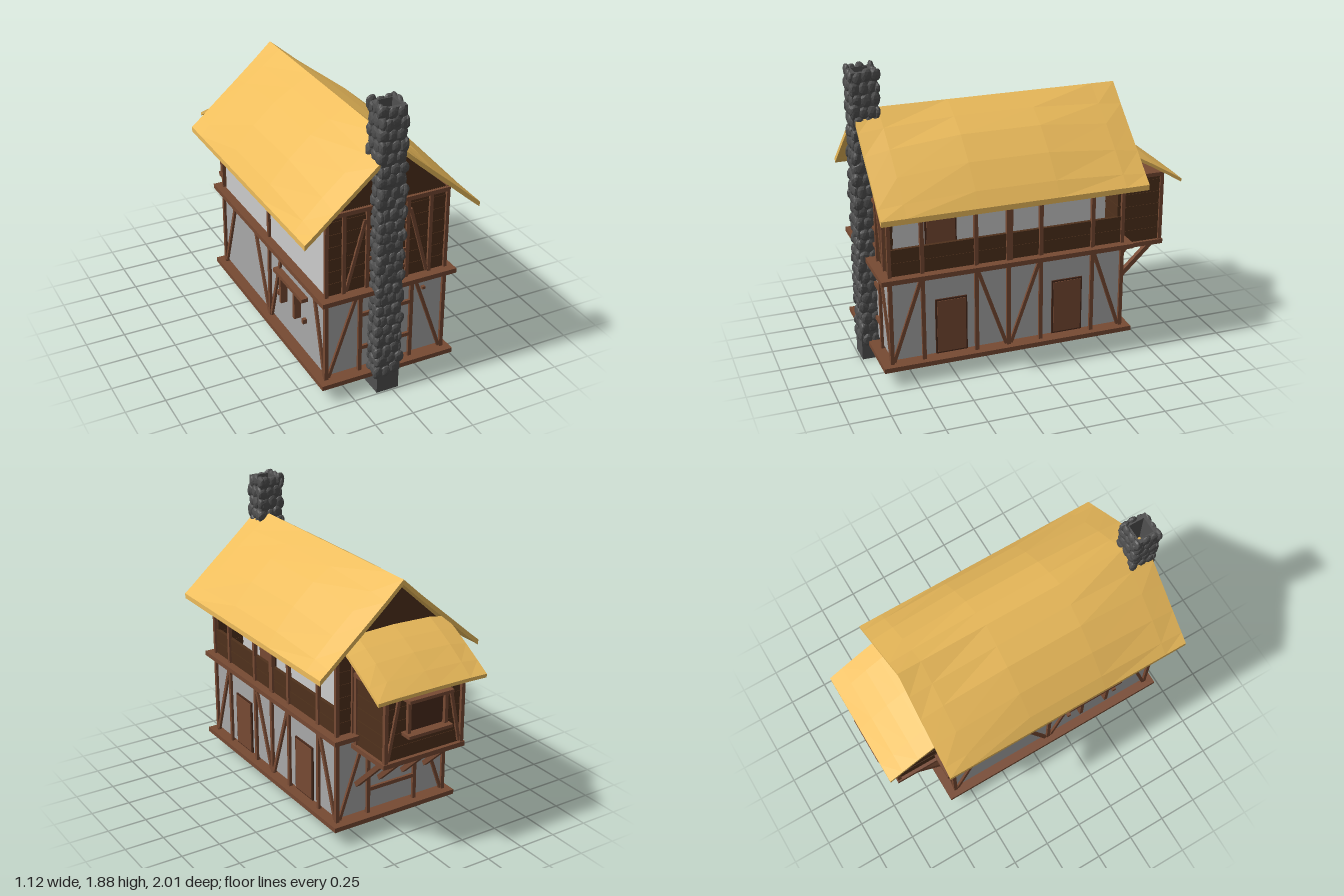
import * as THREE from 'three';
import { mergeVertices } from 'three/addons/utils/BufferGeometryUtils.js';

const mat = (color) => new THREE.MeshStandardMaterial({ color, flatShading: true });
const TIMBER = mat(0x774a33), PLANK = mat(0x4f311c), TRIM = mat(0x4a2a1c), PLASTER = mat(0xcccccc),
  LOWER = mat(0xa8a8a8), THATCH = mat(0xeebd5c), STONE = mat(0x505050);

let seed = 7;
const rnd = () => (seed = (seed * 16807) % 2147483647) / 2147483647;

function add(parent, name, geo, material) {
  const mesh = new THREE.Mesh(geo, material);
  mesh.name = name;
  parent.add(mesh);
  return mesh;
}

// Box given by its x, y and z ranges
function box(parent, name, [x0, x1], [y0, y1], [z0, z1], material) {
  const m = add(parent, name, new THREE.BoxGeometry(x1 - x0, y1 - y0, z1 - z0), material);
  m.position.set((x0 + x1) / 2, (y0 + y1) / 2, (z0 + z1) / 2);
  return m;
}

// Square timber between two points
function beam(parent, name, a, b, w = 0.024) {
  const p = new THREE.Vector3(...a), q = new THREE.Vector3(...b), d = q.clone().sub(p);
  const m = add(parent, name, new THREE.BoxGeometry(w, d.length(), w), TIMBER);
  m.position.copy(p).add(q).multiplyScalar(0.5);
  m.quaternion.setFromUnitVectors(new THREE.Vector3(0, 1, 0), d.normalize());
  return m;
}

// Stack of horizontal planks with shallow steps
function planks(parent, name, xr, [y0, y1], zr, step = 0.04) {
  const n = Math.round((y1 - y0) / step), h = (y1 - y0) / n;
  for (let i = 0; i < n; i++) {
    const e = (i % 2) * 0.003;
    box(parent, name, [xr[0] - e, xr[1] + e], [y0 + i * h, y0 + (i + 1) * h], [zr[0] - e, zr[1] + e], PLANK);
  }
}

// Thatch slab: rows are [run, edge height, middle height], spans are [position, bulge weight]
function thatch(parent, name, rows, spans, t) {
  const pos = [], idx = [], m = rows.length, n = spans.length, N = m * n;
  for (const drop of [0, t])
    for (const [r, edge, mid] of rows)
      for (const [s, w] of spans) pos.push(r, edge + (mid - edge) * w - drop, s);
  const at = (i, j) => i * n + j;
  for (let i = 0; i < m - 1; i++)
    for (let j = 0; j < n - 1; j++) {
      const a = at(i, j), b = at(i, j + 1), c = at(i + 1, j + 1), d = at(i + 1, j);
      idx.push(a, b, c, a, c, d, a + N, c + N, b + N, a + N, d + N, c + N);
    }
  const ring = [];
  for (let j = 0; j < n - 1; j++) ring.push(at(0, j));
  for (let i = 0; i < m - 1; i++) ring.push(at(i, n - 1));
  for (let j = n - 1; j > 0; j--) ring.push(at(m - 1, j));
  for (let i = m - 1; i > 0; i--) ring.push(at(i, 0));
  ring.forEach((p, k) => {
    const q = ring[(k + 1) % ring.length];
    idx.push(p + N, q + N, q, p + N, q, p);
  });
  const g = new THREE.BufferGeometry();
  g.setAttribute('position', new THREE.Float32BufferAttribute(pos, 3));
  g.setIndex(idx);
  g.computeVertexNormals();
  return add(parent, name, g, THATCH);
}

// Irregular low-poly stone
function stone(parent, x, y, z, sx, sy, sz) {
  const g = new THREE.IcosahedronGeometry(1, 1);
  g.deleteAttribute('normal');
  g.deleteAttribute('uv');
  const s = mergeVertices(g, 1e-3), p = s.attributes.position, v = new THREE.Vector3();
  for (let i = 0; i < p.count; i++) {
    v.fromBufferAttribute(p, i);
    const square = 0.82 / Math.max(Math.abs(v.x), Math.abs(v.y), Math.abs(v.z));
    v.multiplyScalar((0.55 + 0.45 * square) * (0.9 + 0.14 * rnd()));
    p.setXYZ(i, v.x * sx, v.y * sy, v.z * sz);
  }
  s.computeVertexNormals();
  add(parent, 'chimneyStone', s, STONE).position.set(x, y, z);
}

function chimney(house) {
  const g = new THREE.Group();
  g.name = 'chimney';
  house.add(g);
  g.position.set(-0.025, 0, 0.905);
  box(g, 'chimneyFoot', [-0.075, 0.07], [0, 0.16], [-0.065, 0.085], STONE);
  // Hollow core
  const sq = (r) => [[-r, -r], [r, -r], [r, r], [-r, r]].map((p) => new THREE.Vector2(...p));
  const shape = new THREE.Shape(sq(0.076));
  shape.holes.push(new THREE.Path(sq(0.05)));
  const core = add(g, 'chimneyCore', new THREE.ExtrudeGeometry(shape, { depth: 1.74, bevelEnabled: false }), STONE);
  core.rotation.x = -Math.PI / 2;
  core.position.y = 0.11;
  // Stone courses round the four sides
  const rows = 25, h = 1.75 / rows;
  for (let i = 0; i < rows; i++)
    for (let k = 0; k < 4; k++)
      for (let j = 0; j < 3; j++) {
        const u = (j - 1) * 0.054 + (i % 2 ? 0.011 : -0.011) + (rnd() - 0.5) * 0.012;
        const o = 0.073 + (rnd() - 0.5) * 0.008, y = 0.13 + (i + 0.5) * h + (rnd() - 0.5) * 0.022 - 0.02;
        const w = 0.03 + rnd() * 0.008, hh = h * (0.55 + rnd() * 0.14), f = k < 2 ? 1 : -1;
        if (k % 2) stone(g, f * o, y, u, 0.02, hh, w);
        else stone(g, u, y, f * o, w, hh, 0.02);
      }
}

// Timber framing of an end wall
function endFrame(house, z) {
  for (const s of [-1, 1]) {
    for (const x of [0.39, 0.17]) beam(house, 'lowerPost', [s * x, 0.13, z], [s * x, 0.67, z]);
    beam(house, 'lowerBrace', [s * 0.375, 0.14, z], [s * 0.19, 0.67, z], 0.02);
    for (const x of [0.39, 0.28, 0.13]) beam(house, 'upperPost', [s * x, 0.7, z], [s * x, 1.21, z], 0.022);
    beam(house, 'upperBrace', [s * 0.265, 0.71, z], [s * 0.145, 1.15, z], 0.02);
  }
  for (const y of [0.29, 0.52]) beam(house, 'lowerRail', [-0.17, y, z], [0.17, y, z]);
  for (const y of [0.78, 0.89, 1.07]) beam(house, 'upperRail', [-0.13, y, z], [0.13, y, z], 0.018);
  beam(house, 'tieBeam', [-0.4, 1.22, z], [0.4, 1.22, z], 0.026);
  for (const x of [-0.08, 0.09, 0.25]) box(house, 'joistEnd', [x - 0.011, x + 0.011], [0.583, 0.6], [z - 0.015, z + 0.015], TIMBER);
}

function bay(house) {
  const X = 0.27, zb = -0.93;
  planks(house, 'bayWall', [-X, X], [0.63, 1.08], [zb + 0.02, -0.6]);
  box(house, 'bayFloor', [-X - 0.02, X + 0.02], [0.6, 0.63], [zb - 0.005, -0.6], TIMBER);
  box(house, 'bayTopBeam', [-X - 0.012, X + 0.012], [1.06, 1.085], [zb, -0.6], TIMBER);
  for (const s of [-1, 1]) {
    for (const z of [zb + 0.012, -0.625]) beam(house, 'bayPost', [s * X, 0.62, z], [s * X, 1.08, z]);
    beam(house, 'bayBrace', [s * 0.255, 0.64, zb + 0.014], [s * 0.17, 1.06, zb + 0.014], 0.02);
    beam(house, 'windowPost', [s * 0.13, 0.79, zb - 0.015], [s * 0.13, 1.01, zb - 0.015], 0.022);
    for (const x of [0.25, 0.085]) beam(house, 'bayBracket', [s * x, 0.35, -0.605], [s * x, 0.605, -0.87], 0.03);
  }
  box(house, 'windowPanel', [-0.12, 0.12], [0.8, 1.0], [zb, zb + 0.02], TRIM);
  for (const y of [0.79, 1.01]) box(house, 'windowLedge', [-0.155, 0.155], [y - 0.01, y + 0.01], [-0.99, zb + 0.02], TIMBER);
  const rows = [[0.6, 1.29, 1.32], [0.7, 1.24, 1.27], [0.8, 1.185, 1.215], [0.91, 1.12, 1.14], [1, 1.065, 1.07]];
  thatch(house, 'bayRoof', rows, [[-0.378, 0], [-0.26, 0.7], [0, 1], [0.26, 0.7], [0.378, 0]], 0.022).rotation.y = Math.PI / 2;
}

export function createModel() {
  const house = new THREE.Group();
  house.name = 'house';
  const zr = [-0.595, 0.885];

  // Floor slabs and walls
  for (const y of [0.1, 0.67]) box(house, 'floorSlab', [-0.44, 0.44], [y, y + 0.03], [-0.66, 0.95], TIMBER);
  box(house, 'lowerWall', [-0.385, 0.385], [0.15, 0.67], zr, LOWER);
  box(house, 'upperWall', [-0.385, 0.2], [0.7, 1.22], [-0.57, 0.86], PLASTER);
  box(house, 'atticFloor', [-0.39, 0.39], [1.21, 1.235], zr, PLANK);
  for (const z of [-0.583, 0.873]) {
    planks(house, 'endWall', [-0.38, 0.38], [0.7, 1.22], [z - 0.012, z + 0.012]);
    const tri = new THREE.Shape([[-0.4, 1.22], [0.4, 1.22], [0, 1.585]].map((p) => new THREE.Vector2(...p)));
    add(house, 'gable', new THREE.ExtrudeGeometry(tri, { depth: 0.02, bevelEnabled: false }), PLANK).position.z = z - 0.01;
  }
  endFrame(house, 0.89);
  endFrame(house, -0.6);

  // Gallery side: posts, braces, parapet and doors
  const x = 0.39;
  for (const z of [0.69, 0.355, 0.15, -0.06, -0.4]) {
    beam(house, 'lowerPost', [x, 0.13, z], [x, 0.67, z]);
    beam(house, 'galleryPost', [x, 0.7, z], [x, 1.24, z]);
  }
  beam(house, 'galleryPost', [x, 0.7, 0.135], [x, 1.24, 0.135]);
  for (const [a, b] of [[0.88, 0.7], [0.165, 0.345], [0.135, -0.05], [-0.585, -0.41]])
    beam(house, 'sideBrace', [x, 0.14, a], [x, 0.66, b], 0.022);
  planks(house, 'parapet', [0.37, 0.386], [0.7, 0.87], zr);
  beam(house, 'eavePlate', [x, 1.225, -0.6], [x, 1.225, 0.89]);
  for (const [z, y0, y1, dx] of [[0.515, 0.15, 0.51, 0.385], [-0.235, 0.15, 0.51, 0.385], [0.515, 0.7, 1.06, 0.2]]) {
    box(house, 'doorFrame', [dx - 0.01, dx + 0.01], [y0, y1], [z - 0.1, z + 0.1], TRIM);
    box(house, 'door', [dx, dx + 0.014], [y0 + 0.01, y1 - 0.01], [z - 0.09, z + 0.09], TIMBER);
  }

  // Closed side: posts, braces and window hood
  beam(house, 'lowerPost', [-x, 0.13, 0.12], [-x, 0.67, 0.12]);
  beam(house, 'upperPost', [-x, 0.7, 0.12], [-x, 1.24, 0.12]);
  beam(house, 'eavePlate', [-x, 1.225, -0.6], [-x, 1.225, 0.89]);
  for (const [a, b] of [[0.88, 0.74], [0.14, 0.3], [0.1, -0.1], [-0.585, -0.4]])
    beam(house, 'sideBrace', [-x, 0.14, a], [-x, 0.66, b], 0.022);
  box(house, 'windowHood', [-0.43, -0.38], [0.53, 0.555], [0.25, 0.65], TIMBER);
  for (const z of [0.35, 0.54]) box(house, 'windowJamb', [-0.43, -0.38], [0.36, 0.53], [z - 0.012, z + 0.012], TIMBER);
  for (const z of [0.27, 0.62]) box(house, 'peg', [-0.41, -0.38], [0.365, 0.395], [z - 0.012, z + 0.012], TIMBER);

  // Main roof: two bulging slopes
  const rows = [[0, 1.62, 1.62], [0.12, 1.51, 1.55], [0.24, 1.405, 1.475], [0.38, 1.285, 1.35], [0.5, 1.18, 1.215], [0.56, 1.13, 1.13]];
  const spans = [[-0.83, 0], [-0.68, 0.4], [-0.25, 1], [0.25, 1], [0.68, 0.4], [0.83, 0]];
  for (const a of [0, Math.PI]) {
    const slope = thatch(house, 'roofSlope', rows, spans, 0.033);
    slope.position.z = 0.14;
    slope.rotation.y = a;
  }

  bay(house);
  chimney(house);
  return house;
}
